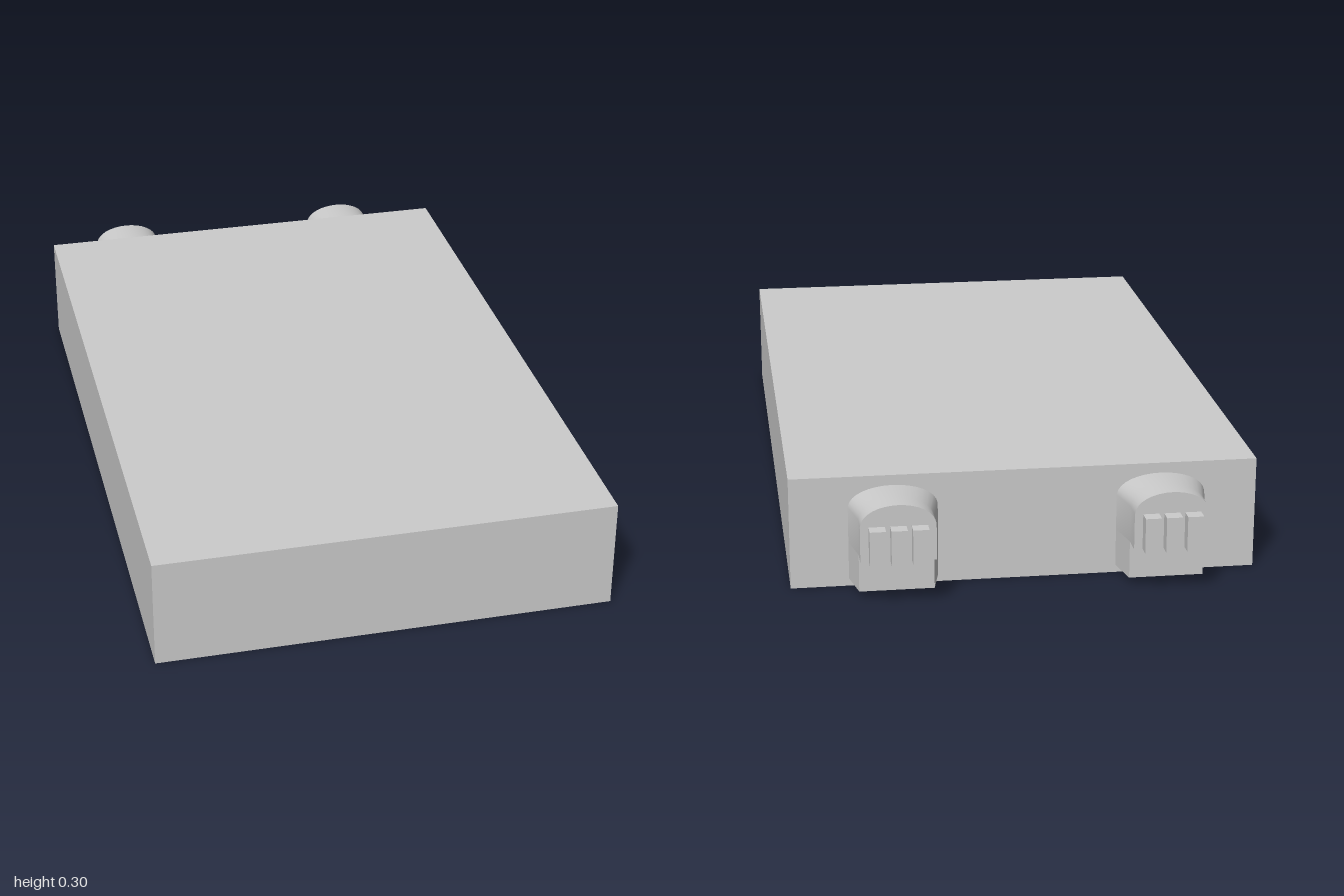
import * as THREE from 'three';
import { toCreasedNormals } from 'three/addons/utils/BufferGeometryUtils.js';

const material = new THREE.MeshStandardMaterial({ color: 0xcccccc });

function addMesh(parent, name, geometry, x = 0, y = 0, z = 0) {
  const mesh = new THREE.Mesh(geometry, material);
  mesh.name = name;
  mesh.position.set(x, y, z);
  parent.add(mesh);
  return mesh;
}

// Sweep a section of half width 1 through stations of [z, half width], rear first
function sweep(shape, stations) {
  const steps = stations.length - 1;
  const geometry = new THREE.ExtrudeGeometry(shape, {
    depth: steps, steps, bevelEnabled: false, curveSegments: 8,
  });
  const p = geometry.attributes.position;
  for (let i = 0; i < p.count; i++) {
    const [z, half] = stations[Math.round(p.getZ(i))];
    p.setX(i, p.getX(i) * half);
    p.setZ(i, z);
  }
  return toCreasedNormals(geometry, 0.5);
}

// Housing section: straight sides with a domed top
function hoodShape() {
  const s = new THREE.Shape();
  s.moveTo(-1, 0.12);
  s.lineTo(1, 0.12);
  s.lineTo(1, 0.215);
  s.bezierCurveTo(0.97, 0.25, 0.5, 0.27, 0, 0.27);
  s.bezierCurveTo(-0.5, 0.27, -0.97, 0.25, -1, 0.215);
  s.closePath();
  return s;
}

// Foot section: plain rectangle under the hood
function footShape() {
  const s = new THREE.Shape();
  s.moveTo(-1, 0.02);
  s.lineTo(1, 0.02);
  s.lineTo(1, 0.12);
  s.lineTo(-1, 0.12);
  s.closePath();
  return s;
}

function createConnector(name, x) {
  const group = new THREE.Group();
  group.name = name;
  group.position.x = x;
  const root = [-0.82, 0.115], neck = [-0.91, 0.096], tip = [-0.965, 0.096];
  addMesh(group, 'connectorHood', sweep(hoodShape(), [tip, neck, root]));
  addMesh(group, 'connectorFoot', sweep(footShape(), [neck, root]));
  // Three contact blades on the rear face
  for (let i = -1; i <= 1; i++) {
    addMesh(group, 'contactPin', new THREE.BoxGeometry(0.041, 0.093, 0.036),
      i * 0.054, 0.1675, -0.982);
  }
  return group;
}

export function createModel() {
  const model = new THREE.Group();
  model.name = 'moduleWithConnectors';
  addMesh(model, 'caseBody', new THREE.BoxGeometry(1.21, 0.297, 1.82), 0, 0.1485, 0.09);
  model.add(createConnector('rightConnector', -0.354));
  model.add(createConnector('leftConnector', 0.34));
  return model;
}
